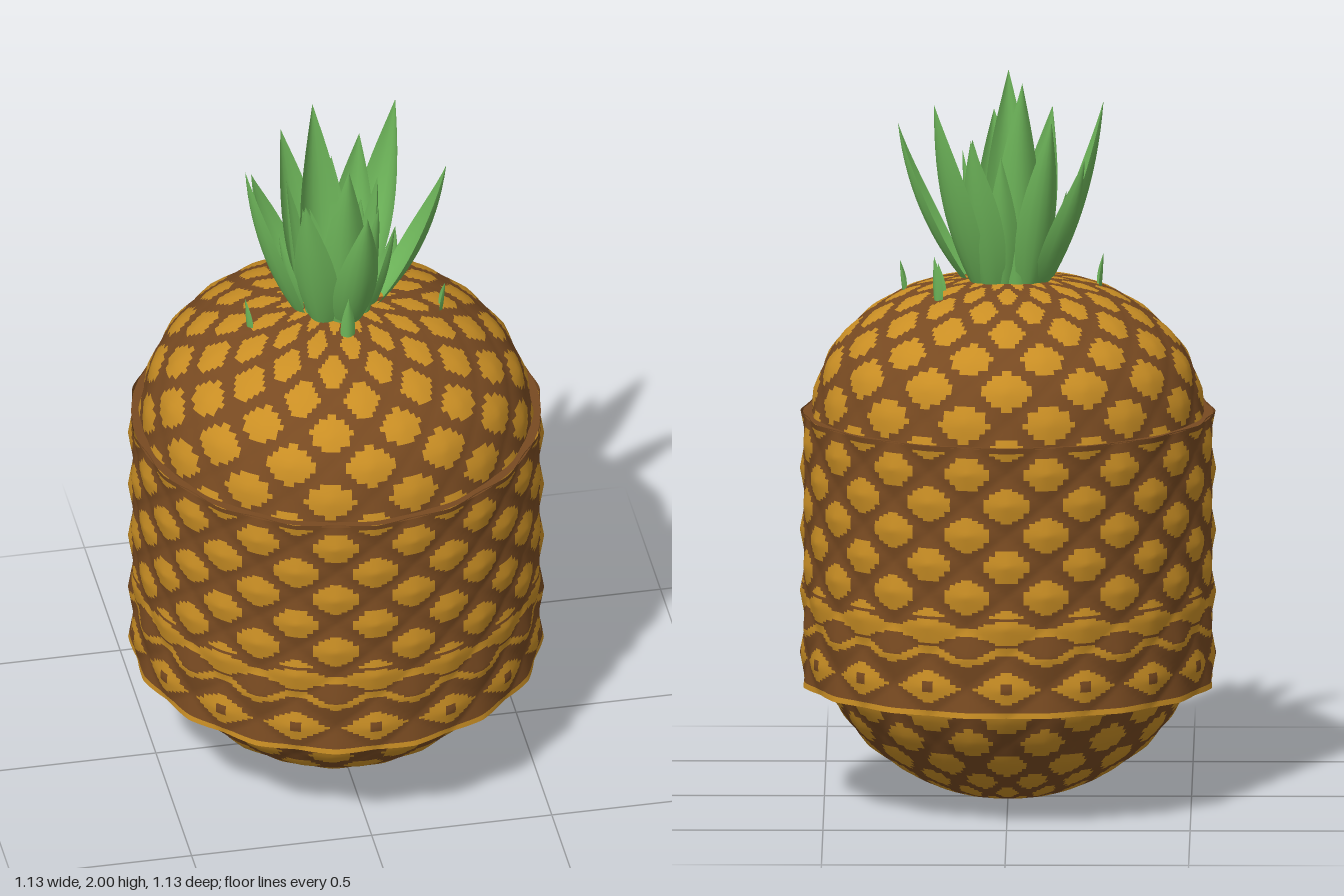
import * as THREE from 'three';

const gold = new THREE.MeshStandardMaterial({ color: 0xc98e24, side: THREE.DoubleSide });
gold.name = 'goldenRind';
const brown = new THREE.MeshStandardMaterial({ color: 0x784a21, side: THREE.DoubleSide });
brown.name = 'brownRind';
const green = new THREE.MeshStandardMaterial({ color: 0x6eb65a, side: THREE.DoubleSide });
green.name = 'leafGreen';

const SIDES = 224;

// Distance from the middle of the nearest eye: 0 at its centre, 0.5 on the seam
function eyeDistance(a, b) {
  const fold = (v) => Math.abs(v - Math.floor(v) - 0.5);
  const p = fold(a + b), q = fold(a - b);
  return Math.cbrt(p ** 3 + q ** 3);
}

// Surface of revolution, split into gold and brown faces
// at(j) gives [radius, y, along]; bump and isGold shape and paint the eyes
function rind(name, eyes, rows, at, bump, isGold) {
  const positions = [], goldFaces = [], brownFaces = [];
  for (let j = 0; j <= rows; j++) {
    const [r, y, s] = at(j);
    for (let i = 0; i < SIDES; i++) {
      const t = (i / SIDES) * Math.PI * 2;
      const R = r + bump((i / SIDES) * eyes, s, r);
      positions.push(R * Math.sin(t), y, R * Math.cos(t));
    }
  }
  for (let j = 0; j < rows; j++) {
    const [r, y, s] = at(j + 0.5);
    for (let i = 0; i < SIDES; i++) {
      const k = (i + 1) % SIDES;
      const A = j * SIDES + i, B = j * SIDES + k, C = B + SIDES, D = A + SIDES;
      const on = isGold(((i + 0.5) / SIDES) * eyes, s, r, y);
      (on ? goldFaces : brownFaces).push(A, B, C, A, C, D);
    }
  }
  const g = new THREE.BufferGeometry();
  g.setAttribute('position', new THREE.Float32BufferAttribute(positions, 3));
  g.setIndex(goldFaces.concat(brownFaces));
  g.addGroup(0, goldFaces.length, 0);
  g.addGroup(goldFaces.length, brownFaces.length, 1);
  g.computeVertexNormals();
  const mesh = new THREE.Mesh(g, [gold, brown]);
  mesh.name = name;
  return mesh;
}

// Rounded fruit with a domed top and bottom
function fruitBody() {
  const curve = new THREE.CatmullRomCurve3([
    [0.001, 0], [0.16, 0.025], [0.28, 0.08], [0.4, 0.175], [0.495, 0.32], [0.53, 0.5],
    [0.54, 0.75], [0.535, 1.06], [0.49, 1.22], [0.405, 1.32], [0.28, 1.4], [0.13, 1.438], [0.001, 1.443],
  ].map(([r, y]) => new THREE.Vector3(r, y, 0)));
  const rows = 140, cell = 0.185, length = curve.getLength();
  const points = curve.getSpacedPoints(rows * 2); // whole and half rows
  const start = (points.findIndex((p) => p.y > 1.21) / (rows * 2)) * length;
  return rind('fruitBody', 14, rows,
    (j) => {
      const p = points[j * 2];
      return [p.x, p.y, ((j / rows) * length - start) / cell + 0.5];
    },
    (a, s, r) => 0.02 * Math.min(1, r / 0.4) * (0.4 - eyeDistance(a, s)),
    (a, s, r, y) => (y > 1.3 && r < 0.085) || eyeDistance(a, s) < 0.365);
}

// Raised sleeve of rind around the middle
function middleBand() {
  const bottom = 0.32, top = 1.07, rows = 100;
  const isGold = (a, s, r, y) => {
    if (y > 1.055) return false;
    if (y > 0.6) return eyeDistance(a, s) < 0.365;
    const wave = Math.cos(a * Math.PI * 2);
    if (y > 0.525) return y < 0.58 + 0.012 * wave && y > 0.535 - 0.012 * wave;
    if (y > 0.455) return Math.abs(y - 0.49 - 0.016 * wave) < 0.01;
    if (y < 0.336) return true;
    // lens-shaped eyes with a dark centre
    const x = Math.abs(a - Math.round(a)), h = Math.abs(y - 0.4);
    return x / 0.44 + h / 0.05 < 1 && x / 0.09 + h / 0.024 > 1;
  };
  return rind('middleBand', 16, rows,
    (j) => {
      const y = bottom + ((top - bottom) * j) / rows;
      return [0.557, y, (y - 0.91) / 0.17 + 0.5];
    },
    (a, s) => 0.026 * (0.38 - eyeDistance(a, s)),
    isGold);
}

// Brown ledge closing the top of the sleeve against the dome
function bandLedge() {
  const g = new THREE.RingGeometry(0.52, 0.558, 96);
  g.rotateX(-Math.PI / 2);
  g.translate(0, 1.067, 0);
  const mesh = new THREE.Mesh(g, brown);
  mesh.name = 'bandLedge';
  return mesh;
}

// Cupped pointed leaf, swept from base to tip; it leans out, then turns upright
function leaf(name, base, tip, width) {
  const middle = new THREE.Vector3(
    base.x + (tip.x - base.x) * 0.85, base.y + (tip.y - base.y) * 0.42, base.z + (tip.z - base.z) * 0.85);
  const spine = new THREE.QuadraticBezierCurve3(base, middle, tip);
  const angle = Math.atan2(base.x + tip.x, base.z + tip.z);
  const out = new THREE.Vector3(Math.sin(angle), 0, Math.cos(angle));
  const side = new THREE.Vector3(out.z, 0, -out.x);
  const rows = 14, cols = 6, positions = [], index = [];
  for (let j = 0; j <= rows; j++) {
    const t = j / rows, p = spine.getPoint(t);
    const half = (width / 2) * Math.max(0.002, Math.sin(Math.PI * (0.17 + 0.83 * t)));
    for (let i = 0; i <= cols; i++) {
      const u = (i / cols) * 2 - 1;
      const q = p.clone().addScaledVector(side, u * half).addScaledVector(out, -u * u * half * 0.6);
      positions.push(q.x, q.y, q.z);
      if (j < rows && i < cols) {
        const A = j * (cols + 1) + i, D = A + cols + 1;
        index.push(A, A + 1, D + 1, A, D + 1, D);
      }
    }
  }
  const g = new THREE.BufferGeometry();
  g.setAttribute('position', new THREE.Float32BufferAttribute(positions, 3));
  g.setIndex(index);
  g.computeVertexNormals();
  const mesh = new THREE.Mesh(g, green);
  mesh.name = name;
  return mesh;
}

function crown() {
  const group = new THREE.Group();
  group.name = 'leafCrown';
  // tall outer leaves, given by their tips
  const tips = [
    [0.3, 1.86, 0.03], [0.2, 1.95, -0.18], [0.1, 1.85, -0.18], [-0.04, 2.0, -0.13], [-0.12, 1.9, -0.17],
    [-0.21, 1.79, -0.13], [-0.26, 1.92, 0.04], [-0.12, 1.88, 0.18], [0, 1.98, 0.18], [0.04, 1.86, 0.24],
  ];
  tips.forEach(([x, y, z], i) => {
    const k = 0.115 / Math.hypot(x, z);
    group.add(leaf('outerLeaf' + (i + 1), new THREE.Vector3(x * k, 1.42, z * k), new THREE.Vector3(x, y, z), 0.125));
  });
  // shorter inner leaves
  const inner = 11;
  for (let i = 0; i < inner; i++) {
    const t = ((i + 0.3) / inner) * Math.PI * 2, r = 0.13 + 0.015 * (i % 3);
    group.add(leaf('innerLeaf' + (i + 1),
      new THREE.Vector3(0.105 * Math.sin(t), 1.42, 0.105 * Math.cos(t)),
      new THREE.Vector3(r * Math.sin(t), 1.68 + 0.06 * ((i * 2) % 4), r * Math.cos(t)), 0.085));
  }
  // little sprouts on the shoulder
  const sprouts = [[-0.26, 1.5, 0.04], [0, 1.56, 0.18], [0.2, 1.53, -0.18], [0.295, 1.48, 0.04], [0.19, 1.5, -0.11]];
  sprouts.forEach(([x, y, z], i) => {
    group.add(leaf('sprout' + (i + 1), new THREE.Vector3(x * 0.97, 1.385, z * 0.97), new THREE.Vector3(x, y, z), 0.04));
  });
  return group;
}

export function createModel() {
  const model = new THREE.Group();
  model.name = 'pineapple';
  model.add(fruitBody(), middleBand(), bandLedge(), crown());
  return model;
}
